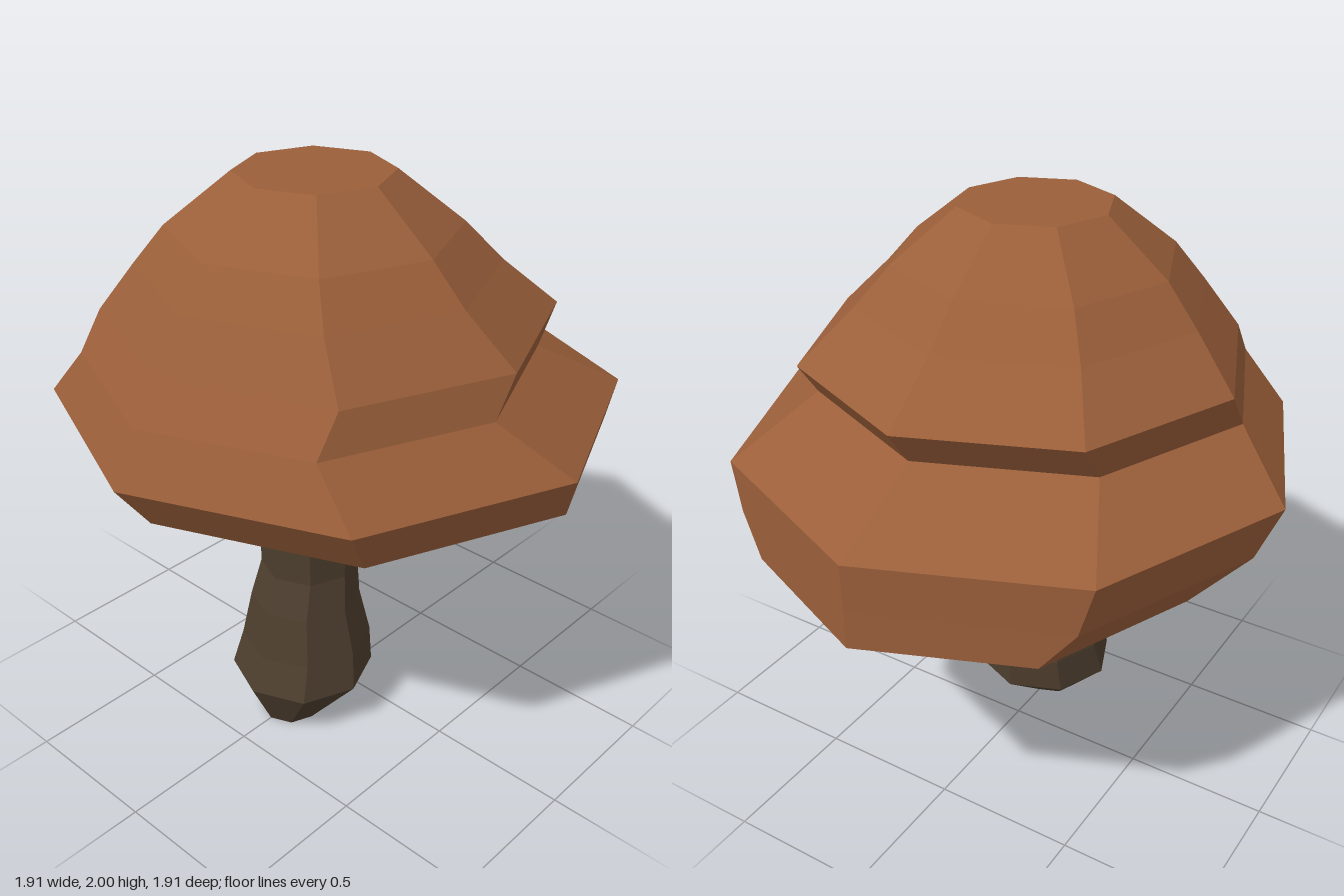
import * as THREE from 'three';

// Rings are octagons: [height, centre x, radius], listed from top to bottom.
const CAP = [
  [2.0, -0.105, 0.255], [1.83, -0.105, 0.47], [1.70, -0.09, 0.585], [1.535, -0.04, 0.742],
  [1.41, -0.13, 0.742], [1.235, 0, 0.955], [1.07, 0.06, 0.893],
];
const UNDER = [[1.07, 0.06, 0.893], [0.94, 0.205, 0.748], [0.77, -0.15, 0.17]];
const STEM = [
  [0.77, -0.15, 0.17], [0.6, -0.15, 0.17], [0.47, -0.172, 0.193],
  [0.3, -0.17, 0.23], [0.175, -0.193, 0.253], [0, -0.258, 0.105],
];
// How far the dark gills reach, every 22.5 degrees from +x to -x
// (0 = stem, 1 = lower rim, 2 = upper rim); mirrored front to back.
const GILLS = [0.5, 0.6, 0.65, 1, 0.6, 1.9, 1, 0.6, 0.3];

// Point on an octagon; half steps of k lie in the middle of a side.
function point([y, cx, r], k) {
  const corner = (i) => new THREE.Vector3(
    cx + r * Math.cos(i * Math.PI / 4), y, r * Math.sin(i * Math.PI / 4));
  const i = Math.floor(k);
  return corner(i).lerp(corner(i + 1), k - i);
}

// Unshared corners give flat facets.
function flatMesh(name, points, material) {
  const geometry = new THREE.BufferGeometry().setFromPoints(points);
  geometry.computeVertexNormals();
  const mesh = new THREE.Mesh(geometry, material);
  mesh.name = name;
  return mesh;
}

function quad(out, a, b, c, d) {
  for (const tri of [[a, b, c], [b, d, c]]) {
    const area = tri[1].clone().sub(tri[0]).cross(tri[2].clone().sub(tri[0])).length();
    if (area > 1e-6) out.push(...tri);
  }
}

function loft(rings) {
  const out = [];
  for (let j = 0; j < rings.length - 1; j++) {
    for (let k = 0; k < 8; k++) {
      quad(out, point(rings[j], k), point(rings[j], k + 1),
        point(rings[j + 1], k), point(rings[j + 1], k + 1));
    }
  }
  return out;
}

// Flat octagonal end, facing up or down.
function disc(ring, up) {
  const out = [];
  const centre = new THREE.Vector3(ring[1], ring[0], 0);
  for (let k = 0; k < 8; k++) {
    const a = point(ring, k), b = point(ring, k + 1);
    out.push(centre, ...(up ? [b, a] : [a, b]));
  }
  return out;
}

export function createModel() {
  const capBrown = new THREE.MeshStandardMaterial({ color: 0x9b5f3a });
  const darkBrown = new THREE.MeshStandardMaterial({ color: 0x4d3e2e });
  capBrown.name = 'cap brown';
  darkBrown.name = 'dark brown';

  // Underside, split along the ragged edge of the gills
  const underPoint = (k, u) => {
    const [hi, lo, t] = u > 1 ? [UNDER[0], UNDER[1], u - 1] : [UNDER[1], UNDER[2], u];
    return point(lo, k / 2).lerp(point(hi, k / 2), t);
  };
  const reach = (k) => GILLS[k % 16 <= 8 ? k % 16 : 16 - (k % 16)];
  const rows = (b) => [2, Math.max(b, 1), Math.min(b, 1), 0];
  const rim = [], gills = [];
  for (let k = 0; k < 16; k++) {
    const b0 = reach(k), b1 = reach(k + 1);
    const r0 = rows(b0), r1 = rows(b1);
    const middleDark = Math.max(b0, b1) > 1;
    for (let j = 0; j < 3; j++) {
      const dark = j === 2 || (j === 1 && middleDark);
      quad(dark ? gills : rim, underPoint(k, r0[j]), underPoint(k + 1, r1[j]),
        underPoint(k, r0[j + 1]), underPoint(k + 1, r1[j + 1]));
    }
  }

  const group = new THREE.Group();
  group.name = 'mushroom';
  group.add(
    flatMesh('cap', [...disc(CAP[0], true), ...loft(CAP)], capBrown),
    flatMesh('capRim', rim, capBrown),
    flatMesh('gills', gills, darkBrown),
    flatMesh('stem', [...loft(STEM), ...disc(STEM[STEM.length - 1], false)], darkBrown),
  );
  return group;
}
